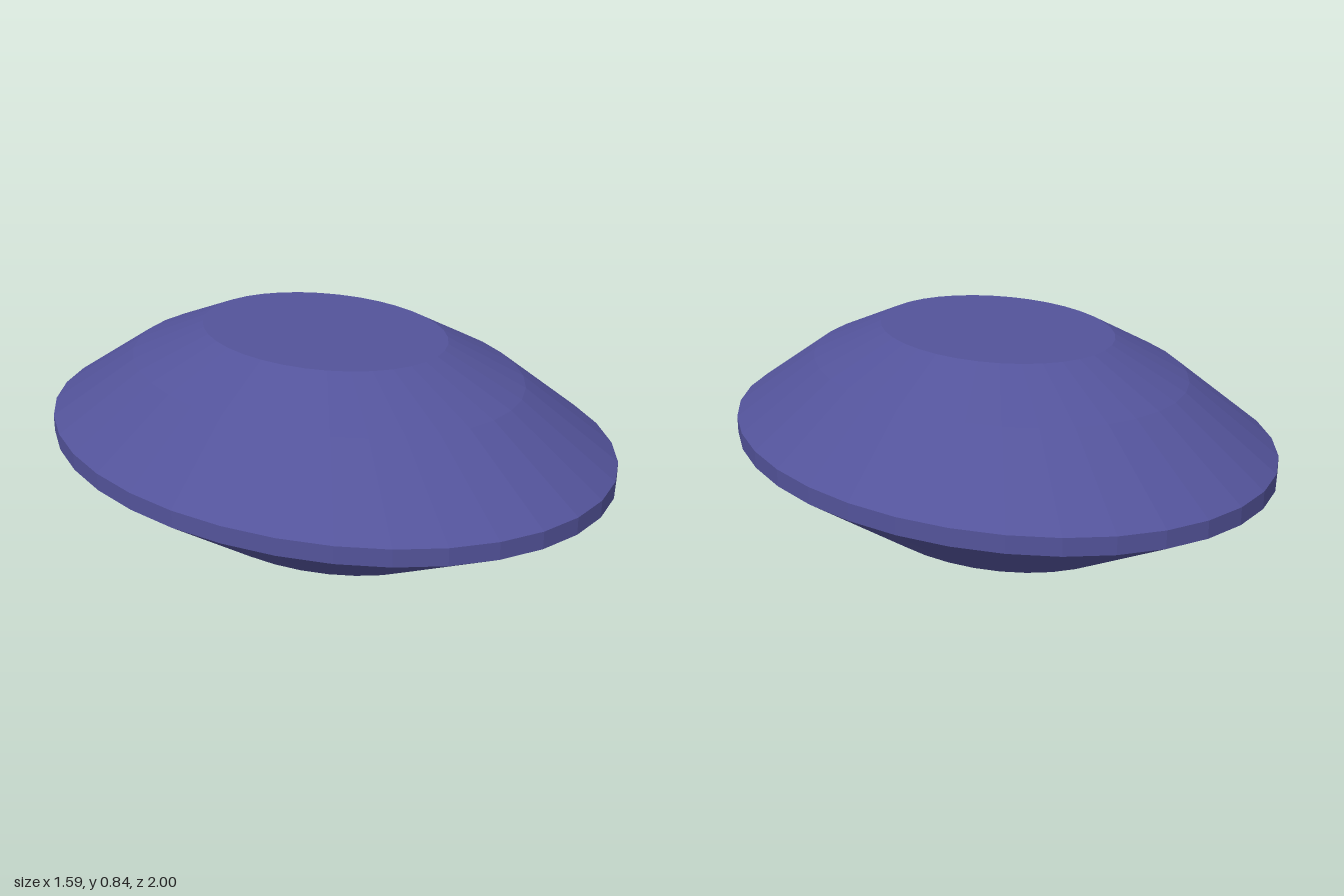
import * as THREE from 'three';

// Faceted oval gemstone: each part is a slice of one profile, turned and stretched to an ellipse.
export function createModel() {
  const gemBlue = new THREE.MeshStandardMaterial({ color: 0x53539a, flatShading: true });
  gemBlue.name = 'gemBlue';

  const SIDES = 36;
  const HALF_WIDTH = 0.787;
  const HALF_LENGTH = 1.005;

  const gem = new THREE.Group();
  gem.name = 'gemstone';

  // Profiles run from bottom to top as [relative radius, height]
  const parts = {
    culet: [[0, 0], [0.035, 0]],
    lowerPavilion: [[0.035, 0], [0.53, 0.217]],
    upperPavilion: [[0.53, 0.217], [1, 0.478]],
    girdle: [[1, 0.478], [1, 0.532]],
    lowerCrown: [[1, 0.532], [0.69, 0.732]],
    upperCrown: [[0.69, 0.732], [0.43, 0.842]],
    table: [[0.43, 0.842], [0, 0.842]],
  };

  for (const [name, profile] of Object.entries(parts)) {
    const points = profile.map(([r, y]) => new THREE.Vector2(r, y));
    const geometry = new THREE.LatheGeometry(points, SIDES);
    geometry.scale(HALF_WIDTH, 1, HALF_LENGTH);
    geometry.computeVertexNormals();
    const mesh = new THREE.Mesh(geometry, gemBlue);
    mesh.name = name;
    gem.add(mesh);
  }

  // The oval is turned slightly about the vertical axis
  gem.rotation.y = THREE.MathUtils.degToRad(10);

  const model = new THREE.Group();
  model.name = 'model';
  model.add(gem);
  return model;
}
